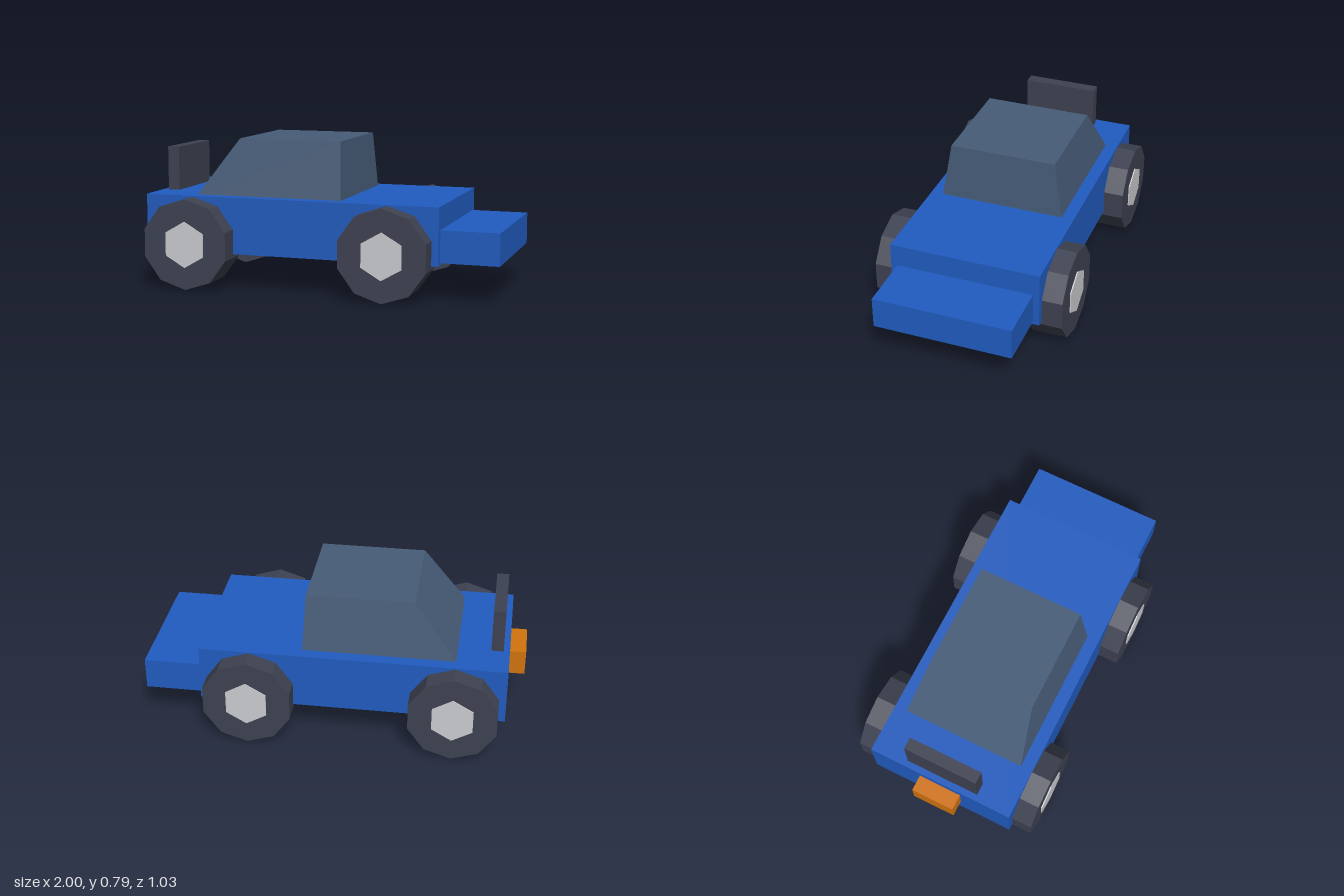
import * as THREE from 'three';

const mat = (name, color) => {
  const m = new THREE.MeshStandardMaterial({ color, flatShading: true });
  m.name = name;
  return m;
};

export function createModel() {
  const car = new THREE.Group();
  car.name = 'car';
  const blue = mat('body blue', 0x215cc0);
  const glass = mat('cabin slate', 0x465c78);
  const dark = mat('tyre charcoal', 0x3e4251);
  const silver = mat('hub silver', 0xcbccd0);
  const orange = mat('lamp orange', 0xd2730e);

  const add = (name, geometry, material, parent = car) => {
    const mesh = new THREE.Mesh(geometry, material);
    mesh.name = name;
    parent.add(mesh);
    return mesh;
  };
  // Box from its x and y limits and half depth
  const block = (name, x0, x1, y0, y1, halfZ, material) =>
    add(name, new THREE.BoxGeometry(x1 - x0, y1 - y0, 2 * halfZ), material)
      .position.set((x0 + x1) / 2, (y0 + y1) / 2, 0);

  block('body', -0.915, 0.695, 0.187, 0.488, 0.402, blue);
  block('nose', 0.69, 1, 0.2, 0.368, 0.368, blue);
  block('rearPanel', -0.882, -0.818, 0.48, 0.725, 0.202, dark);
  block('tailLamp', -1, -0.91, 0.305, 0.44, 0.117, orange);

  // Cabin: a box tapered to a smaller roof
  const cabin = new THREE.BoxGeometry(1, 1, 1);
  const p = cabin.attributes.position;
  for (let i = 0; i < p.count; i++) {
    const top = p.getY(i) > 0;
    const rear = p.getX(i) < 0;
    const x = top ? (rear ? -0.42 : 0.141) : (rear ? -0.648 : 0.157);
    p.setXYZ(i, x, top ? 0.79 : 0.486, Math.sign(p.getZ(i)) * (top ? 0.286 : 0.336));
  }
  cabin.computeVertexNormals();
  add('cabin', cabin, glass);

  // Wheels: ten-sided tyres with six-sided hubs through them
  const tyre = new THREE.CylinderGeometry(0.242, 0.242, 0.187, 10).rotateX(Math.PI / 2);
  const hub = new THREE.CylinderGeometry(0.123, 0.123, 0.199, 6).rotateX(Math.PI / 2);
  for (const [end, x] of [['rear', -0.648], ['front', 0.428]]) {
    for (const [side, z] of [['Right', 0.417], ['Left', -0.417]]) {
      const wheel = new THREE.Group();
      wheel.name = `${end}${side}Wheel`;
      wheel.position.set(x, 0.242, z);
      add('tyre', tyre, dark, wheel);
      add('hub', hub, silver, wheel);
      car.add(wheel);
    }
  }
  return car;
}
